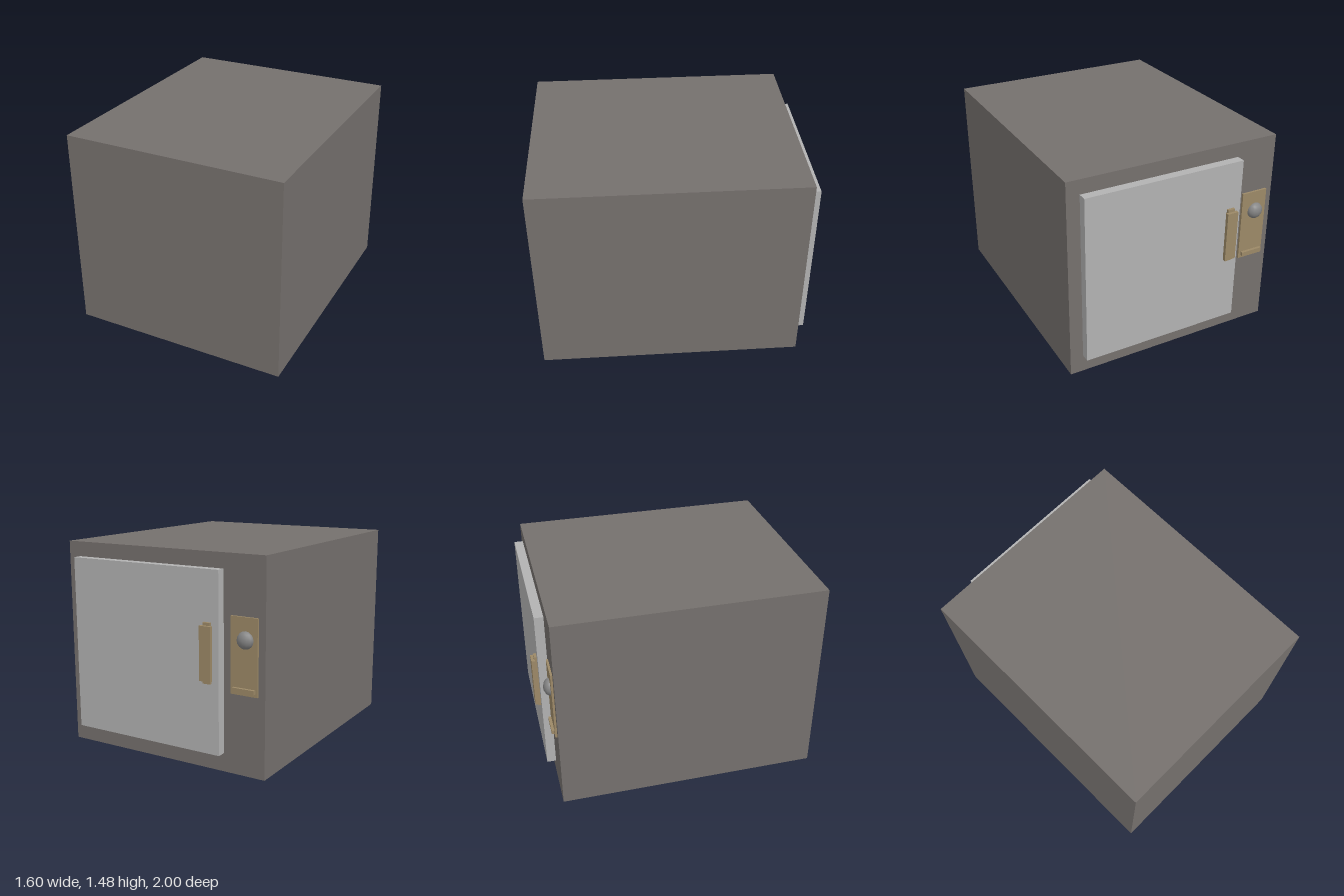
import * as THREE from 'three';

export function createModel() {
  const mat = (name, color) => {
    const m = new THREE.MeshStandardMaterial({ color });
    m.name = name;
    return m;
  };
  const casing = mat('warm grey casing', 0x75706d);
  const steel = mat('light grey door', 0xb2b2b2);
  const brass = mat('dull brass', 0x9c8967);
  const knobGrey = mat('knob grey', 0x858585);

  const model = new THREE.Group();
  model.name = 'safe';

  // box given by its minimum and maximum corners
  const box = (name, material, [x0, y0, z0], [x1, y1, z1], parent = model) => {
    const mesh = new THREE.Mesh(new THREE.BoxGeometry(x1 - x0, y1 - y0, z1 - z0), material);
    mesh.position.set((x0 + x1) / 2, (y0 + y1) / 2, (z0 + z1) / 2);
    mesh.name = name;
    parent.add(mesh);
    return mesh;
  };

  // casing and the door on its back face
  box('body', casing, [-0.8, 0, -0.895], [0.8, 1.48, 1]);
  box('door', steel, [-0.49, 0.13, -0.96], [0.705, 1.375, -0.895]);

  // door handle: slim mount with a wider grip over it
  const handle = new THREE.Group();
  handle.name = 'handle';
  box('handleMount', brass, [-0.435, 0.62, -0.98], [-0.38, 1.03, -0.96], handle);
  box('handleGrip', brass, [-0.45, 0.64, -1], [-0.365, 1.01, -0.975], handle);
  model.add(handle);

  // lock panel: plate, ledge and domed knob
  const lock = new THREE.Group();
  lock.name = 'lockPanel';
  box('lockPlate', brass, [-0.75, 0.56, -0.91], [-0.55, 1.08, -0.895], lock);
  box('lockLedge', brass, [-0.735, 0.583, -0.93], [-0.57, 0.61, -0.91], lock);
  const knob = new THREE.Mesh(new THREE.SphereGeometry(0.06, 12, 8), knobGrey);
  knob.scale.z = 0.75;
  knob.position.set(-0.66, 0.93, -0.91);
  knob.name = 'knob';
  lock.add(knob);
  model.add(lock);

  return model;
}
